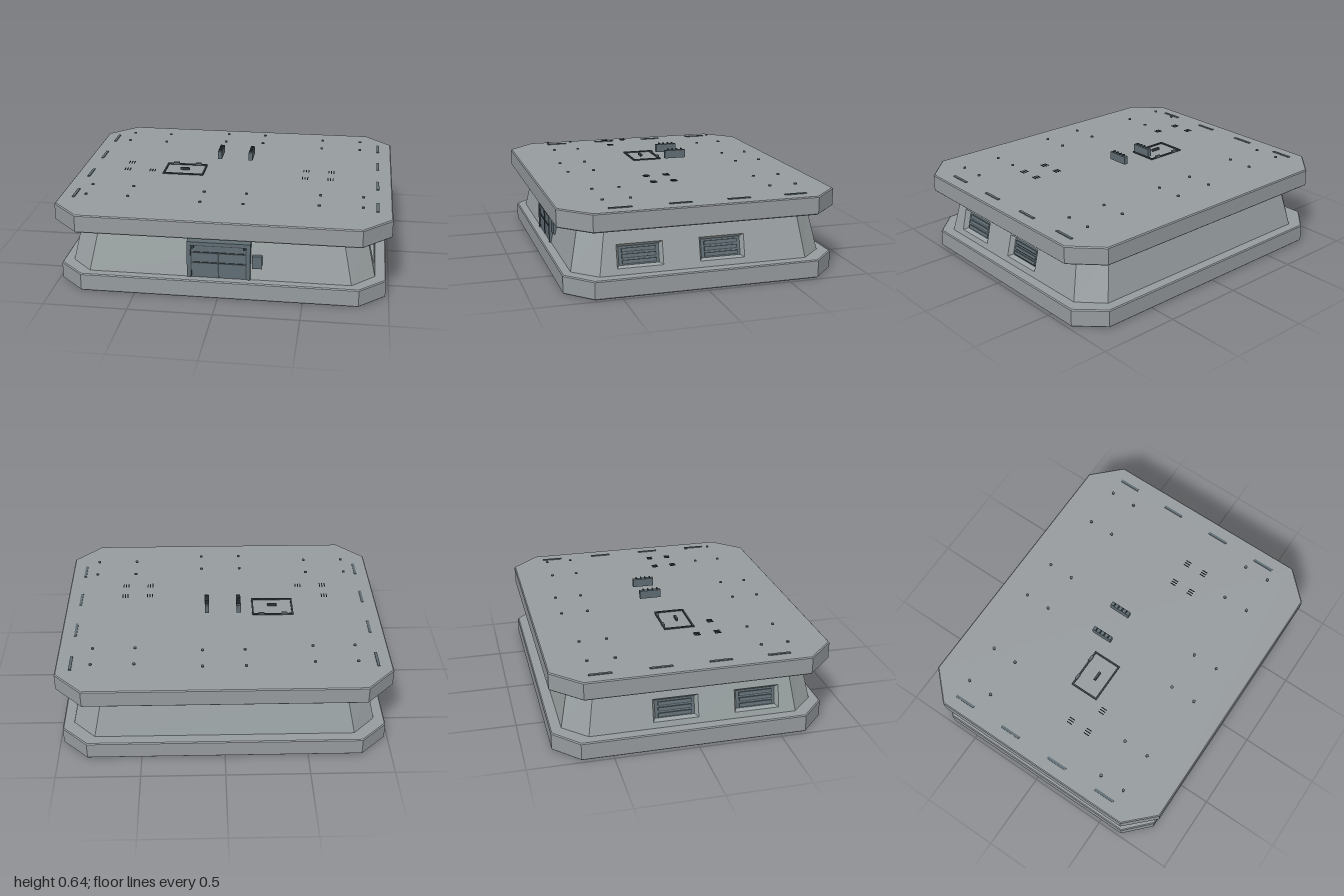
import * as THREE from 'three';

const mat = (name, color, side = THREE.FrontSide) => {
  const m = new THREE.MeshStandardMaterial({ color, side });
  m.name = name;
  return m;
};

// Flat-faced skin through rings of points; skip lists side indices left open
function loft(rings, { capStart = false, capEnd = false, skip = [] } = {}) {
  const pos = [], n = rings[0].length;
  const tri = (a, b, c) => pos.push(...a, ...b, ...c);
  for (let r = 0; r < rings.length - 1; r++) {
    for (let i = 0; i < n; i++) {
      if (skip.includes(i)) continue;
      const j = (i + 1) % n, lo = rings[r], hi = rings[r + 1];
      tri(lo[i], lo[j], hi[j]);
      tri(lo[i], hi[j], hi[i]);
    }
  }
  const first = rings[0], last = rings[rings.length - 1];
  for (let i = 1; i < n - 1; i++) {
    if (capStart) tri(first[0], first[i + 1], first[i]);
    if (capEnd) tri(last[0], last[i], last[i + 1]);
  }
  const g = new THREE.BufferGeometry();
  g.setAttribute('position', new THREE.Float32BufferAttribute(pos, 3));
  g.computeVertexNormals();
  return g;
}

// Rectangle with cut corners at height y
const octagon = (y, hx, hz, cx, cz) => [
  [hx, y, cz], [hx, y, -cz], [cx, y, -hz], [-cx, y, -hz],
  [-hx, y, -cz], [-hx, y, cz], [-cx, y, hz], [cx, y, hz]];

const rect = (x, y, w, h, z) => [
  [x - w / 2, y - h / 2, z], [x + w / 2, y - h / 2, z],
  [x + w / 2, y + h / 2, z], [x - w / 2, y + h / 2, z]];

export function createModel() {
  const root = new THREE.Group();
  root.name = 'bunker';
  const concrete = mat('concrete', 0x969b9e);
  const wallGrey = mat('wall grey', 0x9aa1a2);
  const steel = mat('blue steel', 0x5f6d74);
  const dark = mat('dark steel', 0x3c454a);

  const add = (parent, name, geo, m, x = 0, y = 0, z = 0) => {
    const mesh = new THREE.Mesh(geo, m);
    mesh.name = name;
    mesh.position.set(x, y, z);
    parent.add(mesh);
    return mesh;
  };
  const box = (parent, name, m, w, h, d, x, y, z) =>
    add(parent, name, new THREE.BoxGeometry(w, h, d), m, x, y, z);

  // Base and roof slabs with slightly eased edges
  const slab = (name, y0, y1, hx, hz, cx, cz, z) => {
    const e = 0.006;
    const small = y => octagon(y, hx - e, hz - e, cx - e / 2, cz - e / 2);
    add(root, name, loft([small(y0), octagon(y0 + e, hx, hz, cx, cz),
      octagon(y1 - e, hx, hz, cx, cz), small(y1)], { capStart: true, capEnd: true }), concrete, 0, 0, z);
  };
  slab('baseSlab', 0, 0.11, 0.98, 0.818, 0.825, 0.67, -0.015);
  slab('roofSlab', 0.39, 0.5, 1, 0.833, 0.832, 0.663, 0);

  // Sloping walls; the two side faces are separate panels with window openings
  const y0 = 0.108, y1 = 0.392, xb = 0.915, xt = 0.85, zb = 0.62, zt = 0.576;
  const walls = new THREE.Group();
  walls.name = 'walls';
  walls.position.z = -0.009;
  root.add(walls);
  add(walls, 'wallShell', loft([octagon(y0, xb, 0.758, 0.78, zb), octagon(y1, xt, 0.699, 0.722, zt)],
    { skip: [0, 4] }), wallGrey);

  const slope = Math.hypot(y1 - y0, xb - xt);
  for (const side of [1, -1]) {
    const panel = new THREE.Group();
    panel.name = side > 0 ? 'leftWall' : 'rightWall';
    panel.rotation.order = 'YXZ';
    panel.rotation.set(-Math.atan2(xb - xt, y1 - y0), side * Math.PI / 2, 0);
    panel.position.set(side * xb, y0, 0);
    walls.add(panel);
    const shape = new THREE.Shape([[-zb, 0], [zb, 0], [zt, slope], [-zt, slope]]
      .map(p => new THREE.Vector2(...p)));
    for (const z of [0.382, -0.107]) {
      const x = -side * z, y = 0.107, w = 0.27, h = 0.137, depth = 0.03;
      shape.holes.push(new THREE.Path(rect(x, y, w, h, 0).map(p => new THREE.Vector2(p[0], p[1]))));
      add(panel, 'windowReveal', loft([rect(x, y, w, h, 0), rect(x, y, w - 0.034, h - 0.03, -depth)]), wallGrey);
      // Louvred shutter at the back of the recess
      box(panel, 'windowShutter', steel, w - 0.03, h - 0.026, 0.008, x, y, -depth - 0.003);
      for (const s of [-1, 0, 1]) {
        box(panel, 'louvre', steel, w - 0.07, 0.018, 0.012, x, y + s * 0.034, -depth + 0.005);
        box(panel, 'louvreGap', dark, w - 0.07, 0.005, 0.006, x, y + s * 0.034 - 0.012, -depth + 0.003);
      }
    }
    add(panel, 'sideWall', new THREE.ShapeGeometry(shape), wallGrey);
  }

  // Front door
  const door = new THREE.Group();
  door.name = 'door';
  root.add(door);
  box(door, 'doorPanel', steel, 0.34, 0.22, 0.06, 0, 0.22, 0.721);
  for (const s of [-1, 1]) {
    box(door, 'doorPost', steel, 0.022, 0.228, 0.07, s * 0.177, 0.224, 0.723);
    const bolt = add(door, 'doorBolt', new THREE.CylinderGeometry(0.008, 0.008, 0.008, 10), dark, s * 0.152, 0.305, 0.755);
    bolt.rotation.x = Math.PI / 2;
    box(door, 'doorSeam', dark, 0.006, 0.19, 0.004, s * 0.163, 0.21, 0.752);
  }
  box(door, 'doorHeader', steel, 0.376, 0.02, 0.07, 0, 0.328, 0.723);
  box(door, 'headerSeam', dark, 0.33, 0.006, 0.004, 0, 0.315, 0.752);
  box(door, 'doorMullion', dark, 0.008, 0.16, 0.006, 0, 0.195, 0.753);
  for (const y of [0.205, 0.27]) box(door, 'doorRail', dark, 0.32, 0.008, 0.006, 0, y, 0.753);
  box(door, 'doorLamp', steel, 0.058, 0.078, 0.045, 0.227, 0.219, 0.722);

  // Roof hatch outline, hinges and handle
  const hatch = new THREE.Group();
  hatch.name = 'roofHatch';
  hatch.position.set(-0.323, 0.511, 0.02);
  root.add(hatch);
  for (const s of [-1, 1]) {
    box(hatch, 'hatchEdge', dark, 0.262, 0.008, 0.01, 0, 0, s * 0.088);
    box(hatch, 'hatchEdge', dark, 0.01, 0.008, 0.176, s * 0.126, 0, 0);
    box(hatch, 'hatchHinge', steel, 0.036, 0.014, 0.016, s * 0.073, 0.005, -0.088);
  }
  box(hatch, 'hatchHandle', dark, 0.06, 0.014, 0.014, 0, 0.007, 0.012);

  // Raised vent blocks with four small fins
  for (const x of [-0.102, 0.097]) {
    box(root, 'ventBlock', steel, 0.026, 0.05, 0.132, x, 0.602, -0.079);
    for (let i = 0; i < 4; i++) box(root, 'ventFin', dark, 0.02, 0.01, 0.007, x, 0.631, -0.122 + i * 0.029);
  }

  // Roof bolts in groups of four: centre x, centre z, height
  const boltGeo = new THREE.CylinderGeometry(0.0095, 0.0095, 0.008, 10);
  for (const [cx, cz, y] of [[-0.667, -0.526, 0.53], [0, -0.565, 0.536], [0.661, -0.526, 0.53],
    [-0.702, 0.49, 0.53], [0, 0.54, 0.536], [0.698, 0.49, 0.53]]) {
    for (const sx of [-1, 1]) for (const sz of [-1, 1]) {
      add(root, 'roofBolt', boltGeo, steel, cx + sx * 0.128, y, cz + sz * 0.081);
    }
  }

  // Slots along the two side edges of the roof
  for (const x of [-0.915, 0.912]) {
    for (const z of [-0.555, -0.207, 0.141, 0.49]) box(root, 'edgeSlot', steel, 0.016, 0.008, 0.134, x, 0.501, z);
  }

  // Small three-bar grilles
  for (const [x, z] of [[-0.66, 0.07], [-0.66, 0.195], [-0.5, 0.195],
    [0.463, 0.09], [0.463, 0.213], [0.62, 0.09], [0.62, 0.213]]) {
    for (const s of [-1, 0, 1]) box(root, 'grilleBar', dark, 0.005, 0.005, 0.037, x + s * 0.016, 0.559, z);
  }
  return root;
}
